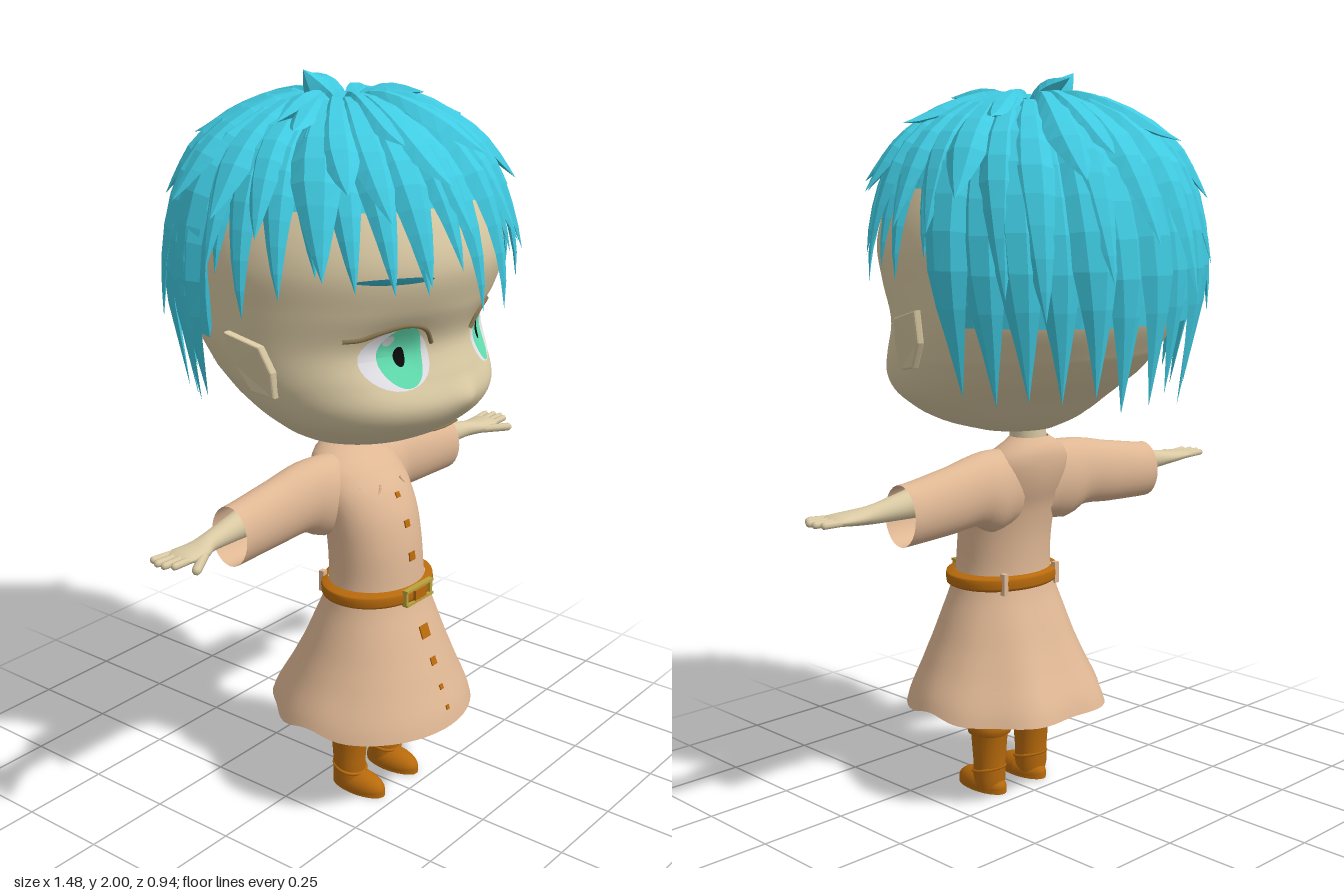
import * as THREE from 'three';
import { mergeGeometries, mergeVertices } from 'three/addons/utils/BufferGeometryUtils.js';

const { sin, cos, PI, abs, min, max, exp } = Math;
const V = (x, y, z) => new THREE.Vector3(x, y, z);
const mat = (color, extra = {}) => new THREE.MeshStandardMaterial({ color, ...extra });
const SKIN = mat(0xd9c9a3), LEATHER = mat(0xb86a0c);
const COAT = mat(0xdfb794, { side: THREE.DoubleSide });
const HAIR = mat(0x40cbe2, { flatShading: true, side: THREE.DoubleSide });

let seed = 7;
const rnd = () => (seed = (seed * 16807) % 2147483647) / 2147483647;

// Skin of rows x seg points from fn(t, angle); angle runs from +z to +x
function loft(rows, seg, fn) {
  const pos = [], idx = [];
  for (let i = 0; i <= rows; i++)
    for (let j = 0; j < seg; j++) pos.push(...fn(i / rows, (j / seg) * 2 * PI, j));
  for (let i = 0; i < rows; i++)
    for (let j = 0; j < seg; j++) {
      const a = i * seg + j, b = i * seg + ((j + 1) % seg);
      idx.push(a, b, b + seg, a, b + seg, a + seg);
    }
  const g = new THREE.BufferGeometry();
  g.setAttribute('position', new THREE.Float32BufferAttribute(pos, 3));
  g.setIndex(idx);
  g.computeVertexNormals();
  return g;
}

// Smoothly interpolates a table of rows keyed on their first number
function at(table, key) {
  let i = 0;
  while (i < table.length - 2 && key > table[i + 1][0]) i++;
  const f = min(1, max(0, (key - table[i][0]) / (table[i + 1][0] - table[i][0])));
  const n = table.length - 1;
  const [p, a, b, q] = [max(i - 1, 0), i, i + 1, min(i + 2, n)].map(k => table[k]);
  return a.map((_, k) => a[k] + 0.5 * f * (b[k] - p[k] + f * (2 * p[k] - 5 * a[k] + 4 * b[k] - q[k]
    + f * (3 * (a[k] - b[k]) + q[k] - p[k]))));
}
const span = (table, t) => table[0][0] + t * (table[table.length - 1][0] - table[0][0]);

// Upright body from rings [y, halfWidth, zBack, zFront]
const upright = (table, rows, seg, mod = (p) => p) => loft(rows, seg, (t, a) => {
  const y = span(table, t), [, w, zb, zf] = at(table, y);
  return mod([w * sin(a), y, (zb + zf) / 2 + (zf - zb) / 2 * cos(a)], t, a);
});
// Limb along +x from sections [x, y, ry, z, rz]
const limb = (table, rows, seg) => loft(rows, seg, (t, a) => {
  const x = span(table, t), [, y, ry, z, rz] = at(table, x);
  return [x, y + ry * cos(a), z + rz * sin(a)];
});
const rod = (a, b, r) => {
  const d = b.clone().sub(a), g = new THREE.CapsuleGeometry(r, d.length(), 4, 8);
  g.applyQuaternion(new THREE.Quaternion().setFromUnitVectors(V(0, 1, 0), d.normalize()));
  const m = a.clone().add(b).multiplyScalar(0.5);
  return g.translate(m.x, m.y, m.z);
};
const tube = (pts, r) => new THREE.TubeGeometry(new THREE.CatmullRomCurve3(pts), 20, r, 6);
function mirrored(geo) {
  const g = geo.index ? geo.clone() : mergeVertices(geo);
  g.applyMatrix4(new THREE.Matrix4().makeScale(-1, 1, 1));
  g.index.array.reverse();
  return g;
}

const HEAD = [[1.036, 0.01, 0.03, 0.06], [1.045, 0.11, -0.03, 0.17], [1.07, 0.2, -0.08, 0.26], [1.1, 0.262, -0.12, 0.325],
  [1.15, 0.325, -0.18, 0.385], [1.2, 0.36, -0.25, 0.41], [1.26, 0.384, -0.31, 0.395], [1.35, 0.4, -0.37, 0.37],
  [1.45, 0.407, -0.4, 0.405], [1.55, 0.41, -0.41, 0.428], [1.65, 0.385, -0.39, 0.4], [1.75, 0.33, -0.33, 0.335],
  [1.82, 0.23, -0.23, 0.23], [1.85, 0.02, -0.02, 0.02]];
const TORSO = [[0.58, 0.15, -0.003, 0.255], [0.66, 0.14, 0, 0.25], [0.75, 0.14, -0.005, 0.24], [0.83, 0.145, -0.02, 0.22],
  [0.9, 0.15, -0.045, 0.185], [0.96, 0.14, -0.055, 0.135], [1.0, 0.1, -0.05, 0.09], [1.025, 0.055, -0.03, 0.07]];
const SKIRT = [[0.255, 0.292, -0.158, 0.387], [0.4, 0.23, -0.09, 0.335], [0.5, 0.19, -0.045, 0.295], [0.61, 0.155, -0.005, 0.257]];
const SLEEVE = [[0.06, 0.89, 0.105, 0.04, 0.065], [0.14, 0.885, 0.113, 0.034, 0.075], [0.2, 0.897, 0.097, 0.025, 0.068],
  [0.3, 0.885, 0.09, 0.018, 0.062], [0.47, 0.87, 0.081, 0.014, 0.06]];
const ARM = [[0.4, 0.9, 0.042, 0.02, 0.038], [0.5, 0.892, 0.031, 0.022, 0.031], [0.56, 0.887, 0.024, 0.025, 0.028],
  [0.61, 0.885, 0.019, 0.035, 0.04], [0.67, 0.887, 0.013, 0.034, 0.043], [0.69, 0.887, 0.003, 0.034, 0.03]];
// Hair silhouette: radius and height from crown to nape
const HAIRLINE = new THREE.CatmullRomCurve3([[0, 1.9], [0.14, 1.892], [0.28, 1.828], [0.36, 1.745], [0.407, 1.65],
  [0.432, 1.54], [0.432, 1.42], [0.415, 1.3], [0.385, 1.12]].map(([r, y]) => V(r, y, 0)));

// Eye sockets are pressed into the face
const socket = (x, y) => 0.034 * exp(-(((abs(x) - 0.18) / 0.1) ** 2) - ((y - 1.33) / 0.09) ** 2);
const front = (x, y) => {
  const [, w, zb, zf] = at(HEAD, y);
  return (zb + zf) / 2 + (zf - zb) / 2 * Math.sqrt(max(0, 1 - (x / w) ** 2)) - socket(x, y);
};
// Oval patch that follows the face
function facePatch(cx, cy, rx, ry, lift) {
  const g = new THREE.RingGeometry(0.001, 1, 28, 4), p = g.attributes.position;
  for (let i = 0; i < p.count; i++) {
    const x = cx + p.getX(i) * rx, y = cy + p.getY(i) * ry;
    p.setXYZ(i, x, y, front(x, y) + lift);
  }
  g.computeVertexNormals();
  return g;
}

function hairParam(y) {
  let s = 0.12;
  while (s < 1 && HAIRLINE.getPoint(s).y > y) s += 0.005;
  return s;
}
const NARROW = 0.97;
// One tapering lock, from the crown down to tipY, its tip flicked outward
function lock(az, tipY, width, lift, flip, taperRate) {
  const s1 = hairParam(tipY), twist = 0.16;
  const side = [0.4, 1, 0, -1, -0.4], out = [1, 0, -0.6, 0, 1];
  return loft(10, 5, (t, _, j) => {
    const d = 1 - t, c = HAIRLINE.getPoint(s1 * d), a = az + twist * (d - 1);
    const taper = min(1, t * taperRate) ** 0.8;
    const w = width * taper * min(1, 0.06 + c.x / 0.4) * side[j];
    const o = lift * min(1, d * 4) + flip * d ** 5 + 0.024 * taper * min(1, d * 5) * out[j];
    const r = c.x + o * min(1, c.x / 0.35);
    return [(r * sin(a) + w * cos(a)) * NARROW, c.y + o * max(0, (c.y - 1.5) / 0.42), r * cos(a) - w * sin(a)];
  });
}
// A leaf-shaped tuft along a curve
function tuft(pts, radius) {
  const c = new THREE.CatmullRomCurve3(pts.map(p => V(...p)));
  const g = new THREE.TubeGeometry(c, 8, radius, 5), p = g.attributes.position;
  for (let i = 0; i < p.count; i++) {
    const t = Math.floor(i / 6) / 8, m = c.getPointAt(t), q = V(0, 0, 0).fromBufferAttribute(p, i);
    q.sub(m).multiplyScalar(sin(PI * (0.25 + 0.75 * t))).add(m);
    p.setXYZ(i, q.x, q.y, q.z);
  }
  return g;
}

export function createModel() {
  const model = new THREE.Group();
  const add = (name, geo, m) => {
    const mesh = new THREE.Mesh(geo, m);
    mesh.name = name;
    model.add(mesh);
    return mesh;
  };
  const pair = (name, geo, m) => { add(name + 'Left', geo, m); add(name + 'Right', mirrored(geo), m); };

  // Head with a small nose, and neck
  add('head', upright(HEAD, 80, 96, ([x, y, z], t, a) => cos(a) < 0 ? [x, y, z]
    : [x, y, z - socket(x, y) + 0.014 * exp(-((x / 0.035) ** 2) - ((y - 1.205) / 0.035) ** 2)]), SKIN);
  add('neck', new THREE.CylinderGeometry(0.05, 0.052, 0.14, 20).translate(0, 1.02, 0.025), SKIN);

  // Face
  const dark = mat(0x85744f);
  pair('eyeWhite', facePatch(0.182, 1.325, 0.088, 0.076, 0.005), mat(0xe4e4ea));
  pair('iris', facePatch(0.17, 1.332, 0.056, 0.078, 0.009), mat(0x62deb0));
  pair('pupil', facePatch(0.17, 1.33, 0.014, 0.025, 0.012), mat(0x0a0a0a));
  pair('eyeGlint', facePatch(0.205, 1.375, 0.014, 0.014, 0.012), mat(0xcfd8d4));
  const onFace = pts => pts.map(([x, y]) => V(x, y, front(x, y) + 0.004));
  pair('eyelash', tube(onFace([[0.085, 1.355], [0.115, 1.395], [0.17, 1.412], [0.23, 1.4], [0.27, 1.385], [0.305, 1.383]]), 0.006), dark);
  pair('eyebrow', facePatch(0.23, 1.535, 0.082, 0.008, 0.005), mat(0x267f90));
  add('mouth', tube(onFace([[-0.055, 1.113], [0, 1.11], [0.055, 1.113]]), 0.003), dark);

  // Pointed ears
  const ear = new THREE.Shape([[-0.095, 1.235], [-0.04, 1.245], [0, 1.31], [0.012, 1.39], [-0.08, 1.365], [-0.1, 1.3]].map(p => new THREE.Vector2(...p)));
  const earGeo = new THREE.ExtrudeGeometry(ear, { depth: 0.012, bevelThickness: 0.006, bevelSize: 0.004, bevelSegments: 2 });
  earGeo.rotateY(PI / 2);
  const ep = earGeo.attributes.position;
  for (let i = 0; i < ep.count; i++) ep.setX(i, ep.getX(i) + 0.385 + (ep.getY(i) - 1.24) * 0.25 - max(0, ep.getZ(i) - 0.04) * 0.2);
  earGeo.computeVertexNormals();
  pair('ear', earGeo, SKIN);

  // Hair: under-cap, long locks, two shorter upper layers, crown tufts
  const back = a => cos(a) < -0.24;
  add('hairCap', loft(14, 48, (t, a) => {
    const c = HAIRLINE.getPoint(hairParam(back(a) ? 1.36 : 1.7) * (1 - t)), r = c.x * 0.985;
    return [r * sin(a) * NARROW, c.y - 0.005, r * cos(a)];
  }), HAIR);
  const locks = [], N = 30;
  for (let i = 0; i < N; i++) {
    const a = (i / N) * 2 * PI, bk = back(a);
    const tip = i === 0 ? 1.43 : bk ? 1.12 + 0.08 * rnd() : 1.42 + 0.14 * rnd();
    locks.push(lock(a, tip, bk ? 0.064 : 0.056, 0.002 + 0.012 * (i % 2), bk ? 0.004 : 0.014, bk ? 3 : 1.9));
  }
  for (let i = 0; i < 20; i++) {
    const a = ((i + 0.5 + 0.5 * rnd()) / 20) * 2 * PI;
    const tip = back(a) ? 1.25 + 0.35 * rnd() : 1.52 + 0.16 * rnd();
    locks.push(lock(a, tip, 0.056 + 0.016 * rnd(), 0.018, 0.016 + 0.02 * rnd(), 2.2));
  }
  for (let i = 0; i < 16; i++) {
    const a = ((i + rnd()) / 16) * 2 * PI;
    locks.push(lock(a, 1.64 + 0.18 * rnd(), 0.066, 0.024, 0.03 + 0.03 * rnd(), 3));
  }
  add('hairLocks', mergeGeometries(locks), HAIR);
  add('crownTufts', mergeGeometries([
    tuft([[0, 1.88, 0.02], [-0.12, 1.915, 0.02], [-0.2, 1.92, 0.03], [-0.31, 1.89, 0.05]], 0.036),
    tuft([[-0.05, 1.89, 0.02], [-0.1, 1.94, 0.01], [-0.15, 1.998, 0]], 0.04),
    tuft([[-0.01, 1.87, 0.02], [-0.015, 1.94, -0.03], [-0.02, 1.975, -0.11]], 0.032),
    tuft([[0.01, 1.88, 0.02], [0.1, 1.93, 0.07], [0.18, 1.925, 0.13]], 0.028)]), HAIR);

  // Coat with sleeves and a flared skirt, folded at the back
  add('coatTorso', upright(TORSO, 28, 40), COAT);
  add('coatSkirt', upright(SKIRT, 16, 72, ([x, y, z], t, a) => {
    const k = 1 - t, fold = 1 + 0.045 * k * cos(7 * a) * min(1, max(0, -cos(a)));
    return [x * fold, y + 0.022 * k * k * max(0, cos(2 * (a - PI / 2)) * abs(sin(a))) ** 6, 0.118 + (z - 0.118) * fold];
  }), COAT);
  pair('sleeve', limb(SLEEVE, 16, 28), COAT);
  pair('chestPocket', new THREE.TorusGeometry(0.03, 0.003, 6, 16, PI).rotateZ(PI).rotateX(-0.5).rotateY(0.5).translate(0.07, 0.92, 0.154), COAT);

  // Buttons down the front
  for (const [y, s] of [[0.885, 0.016], [0.81, 0.02], [0.72, 0.024], [0.51, 0.036], [0.43, 0.022], [0.36, 0.014], [0.305, 0.012]]) {
    const table = y > 0.6 ? TORSO : SKIRT, z = k => at(table, k)[3];
    const b = add('button', new THREE.BoxGeometry(s, s, 0.006), LEATHER);
    b.position.set(0, y, z(y));
    b.rotation.x = Math.atan2(z(y + 0.01) - z(y - 0.01), -0.02) - PI;
    b.rotation.x = -Math.atan2(z(y - 0.01) - z(y + 0.01), 0.02);
  }

  // Belt, buckle and loops
  const belt = [[0.598, 0.16, -0.006, 0.262], [0.603, 0.17, -0.013, 0.27], [0.635, 0.17, -0.013, 0.27], [0.64, 0.145, 0, 0.252]];
  add('belt', upright(belt, 8, 48), LEATHER);
  const gold = mat(0xb9a23c);
  for (const s of [-1, 1]) {
    add('buckleSide', new THREE.BoxGeometry(0.01, 0.044, 0.014), gold).position.set(s * 0.055, 0.62, 0.265);
    add('buckleBar', new THREE.BoxGeometry(0.12, 0.007, 0.016), gold).position.set(0, 0.62 + s * 0.02, 0.268);
    add('beltLoop', new THREE.BoxGeometry(0.016, 0.06, 0.016), COAT).position.set(s * 0.1, 0.62, 0.017);
  }
  add('bucklePlate', new THREE.BoxGeometry(0.05, 0.028, 0.012), LEATHER).position.set(0, 0.62, 0.272);

  // Arms and hands
  const hand = [limb(ARM, 18, 18)];
  [[0.725, -0.001], [0.735, 0.022], [0.735, 0.045], [0.722, 0.066]].forEach(([x, z], i) =>
    hand.push(rod(V(0.655, 0.886, 0.003 + i * 0.02), V(x - 0.003, 0.889, z), 0.0095)));
  hand.push(rod(V(0.6, 0.882, 0.055), V(0.685, 0.878, 0.105), 0.012));
  hand.forEach(g => g.deleteAttribute('uv'));
  pair('arm', mergeGeometries(hand), SKIN);

  // Legs and boots
  pair('leg', new THREE.CylinderGeometry(0.062, 0.046, 0.38, 20).translate(0.085, 0.38, 0.1), SKIN);
  const shaft = [[0.04, 0.01], [0.046, 0.04], [0.046, 0.09], [0.052, 0.17], [0.061, 0.176], [0.064, 0.195], [0.06, 0.213], [0.045, 0.214]];
  pair('bootShaft', new THREE.LatheGeometry(shaft.map(p => new THREE.Vector2(...p)), 24).translate(0.083, 0, 0.098), LEATHER);
  const foot = new THREE.SphereGeometry(1, 24, 16).scale(0.043, 0.042, 0.088), fp = foot.attributes.position;
  for (let i = 0; i < fp.count; i++) fp.setY(i, max(0.004, fp.getY(i) + 0.015));
  foot.computeVertexNormals();
  pair('bootFoot', foot.translate(0.08, 0, 0.13), LEATHER);
  pair('bootSole', new THREE.CylinderGeometry(1, 1, 0.014, 24).scale(0.042, 1, 0.088).translate(0.08, 0.007, 0.13), LEATHER);
  pair('bootStrap', new THREE.TorusGeometry(0.046, 0.005, 6, 24).rotateX(PI / 2 + 0.25).translate(0.083, 0.065, 0.1), LEATHER);
  return model;
}
